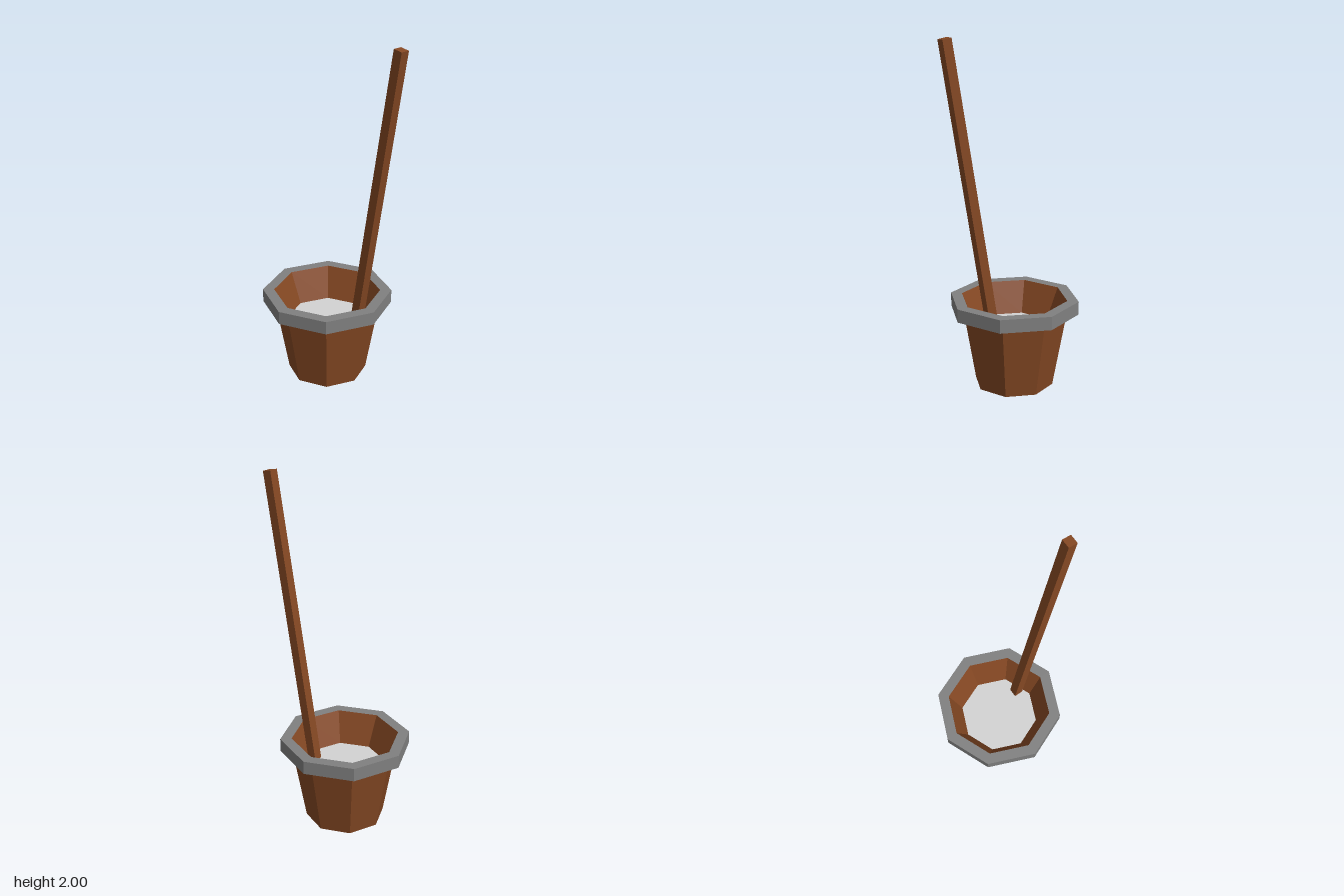
import * as THREE from 'three';

const wood = new THREE.MeshStandardMaterial({ color: 0x854823 });
wood.name = 'brown wood';
const iron = new THREE.MeshStandardMaterial({ color: 0x808080 });
iron.name = 'grey iron';
const water = new THREE.MeshStandardMaterial({ color: 0xd3d3d3 });
water.name = 'pale liquid';

// Eight-sided faceted ring from a [radius, y] profile
function octagon(name, profile, material) {
  const points = profile.map(([r, y]) => new THREE.Vector2(r, y));
  const geometry = new THREE.LatheGeometry(points, 8).toNonIndexed();
  geometry.computeVertexNormals();
  const mesh = new THREE.Mesh(geometry, material);
  mesh.name = name;
  return mesh;
}

export function createModel() {
  const model = new THREE.Group();
  model.name = 'bucketWithPole';

  // Tapered bucket, wide rim band and contents
  const bucket = new THREE.Group();
  bucket.name = 'bucket';
  bucket.position.x = -0.058;
  bucket.add(
    octagon('outerWall', [[0, 0], [0.228, 0], [0.306, 0.44]], wood),
    octagon('rim', [[0.306, 0.44], [0.373, 0.44], [0.373, 0.517], [0.308, 0.517]], iron),
    octagon('innerWall', [[0.308, 0.517], [0.232, 0.335]], wood),
    octagon('liquid', [[0.232, 0.335], [0, 0.335]], water)
  );
  model.add(bucket);

  // Square pole leaning to the left, standing in the liquid
  const bottom = new THREE.Vector3(0.113, 0.31, -0.064);
  const top = new THREE.Vector3(0.404, 1.995, -0.064);
  const axis = top.clone().sub(bottom);
  const pole = new THREE.Mesh(new THREE.BoxGeometry(0.053, axis.length(), 0.053), wood);
  pole.name = 'pole';
  pole.position.copy(bottom).add(top).multiplyScalar(0.5);
  pole.rotation.z = -Math.atan2(axis.x, axis.y);
  model.add(pole);

  return model;
}
